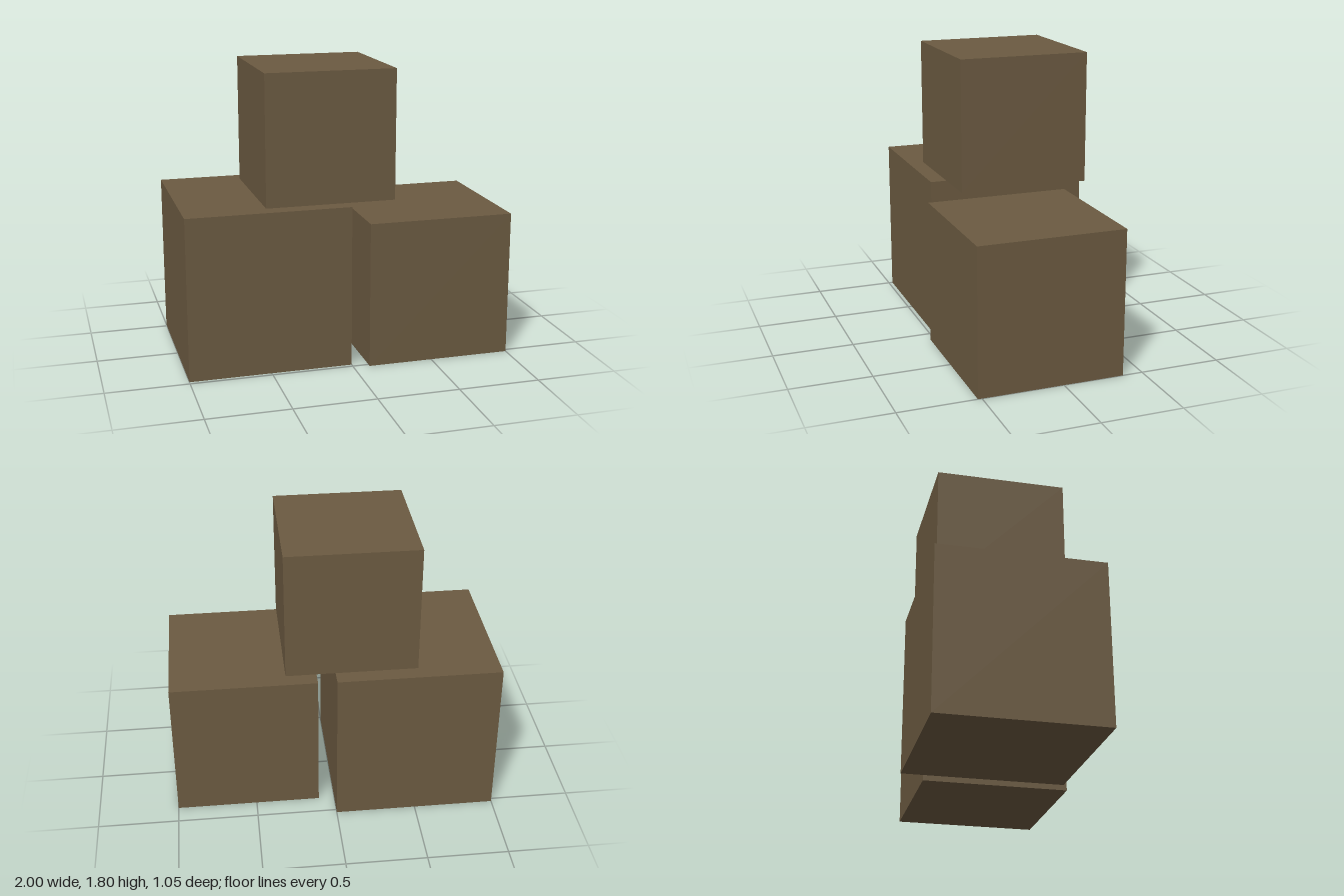
import * as THREE from 'three';

export function createModel() {
  const group = new THREE.Group();
  const wood = new THREE.MeshStandardMaterial({ color: 0x6b5a41 });
  wood.name = 'brown wood';

  // Cube crate from its edge length, centre in plan and base height
  const addCrate = (name, size, x, base, z) => {
    const crate = new THREE.Mesh(new THREE.BoxGeometry(size, size, size), wood);
    crate.name = name;
    crate.position.set(x, base + size / 2, z);
    group.add(crate);
  };

  addCrate('largeCrate', 1, -0.5, 0, -0.025);
  addCrate('mediumCrate', 0.9, 0.55, 0, 0.075);
  // Smallest crate rests on the large one and overhangs the gap
  addCrate('topCrate', 0.8, -0.1, 1, -0.025);

  return group;
}
